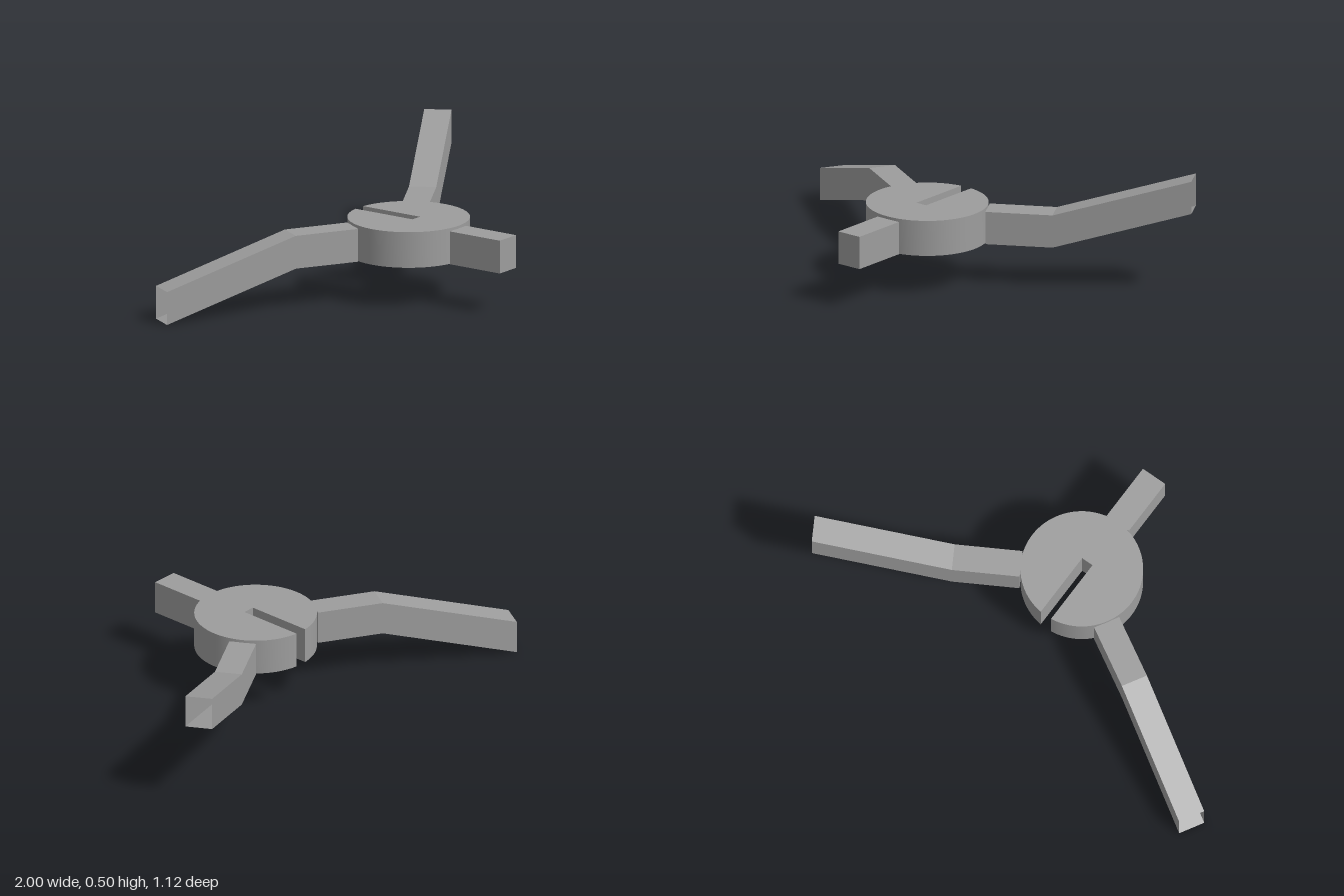
import * as THREE from 'three';
import { toCreasedNormals } from 'three/addons/utils/BufferGeometryUtils.js';

const HUB_Z = 0.05, HUB_R = 0.255, BASE_Y = 0.18;
const ARM_HALF = 0.057, ARM_H = 0.141, ARM_START = 0.254;

// Rectangular arm along +z through [distance, rise] stations; the tip may be left open
function armGeometry(stations, closedTip) {
  const rings = stations.map(([d, y]) => [
    [-ARM_HALF, y, d], [ARM_HALF, y, d],
    [ARM_HALF, y + ARM_H, d], [-ARM_HALF, y + ARM_H, d],
  ]);
  const pos = [];
  const quad = (a, b, c, d) => pos.push(...a, ...b, ...c, ...a, ...c, ...d);
  for (let i = 0; i < rings.length - 1; i++) {
    for (let j = 0; j < 4; j++) {
      const k = (j + 1) % 4;
      quad(rings[i][j], rings[i][k], rings[i + 1][k], rings[i + 1][j]);
    }
  }
  const [a, b, c, d] = rings[0];
  quad(d, c, b, a);
  if (closedTip) quad(...rings[rings.length - 1]);
  const geo = new THREE.BufferGeometry();
  geo.setAttribute('position', new THREE.Float32BufferAttribute(pos, 3));
  geo.computeVertexNormals();
  return geo;
}

// Round hub with a slot cut in from the back
function hubGeometry() {
  const slot = 0.0265, slotEnd = -0.039, s = Math.asin(slot / HUB_R);
  const shape = new THREE.Shape();
  shape.absarc(0, 0, HUB_R, Math.PI / 2 - s, Math.PI / 2 + s, true);
  shape.lineTo(-slot, slotEnd);
  shape.lineTo(slot, slotEnd);
  shape.closePath();
  const geo = new THREE.ExtrudeGeometry(shape, { depth: 0.153, bevelEnabled: false, curveSegments: 64 });
  geo.rotateX(-Math.PI / 2);
  return toCreasedNormals(geo, 0.5);
}

export function createModel() {
  const group = new THREE.Group();
  const material = new THREE.MeshStandardMaterial({ color: 0x9d9d9d, side: THREE.DoubleSide });
  const add = (name, geo, angle = 0) => {
    const mesh = new THREE.Mesh(geo, material);
    mesh.name = name;
    mesh.position.set(0, BASE_Y, HUB_Z);
    mesh.rotation.y = angle;
    group.add(mesh);
  };

  add('slottedHub', hubGeometry());

  // Short straight arm at the front
  add('frontArm', armGeometry([[ARM_START, 0], [0.511, 0]], true));

  // Long cranked arms: the left one rises, the right one drops
  for (const [name, side, rise] of [['leftArm', 1, 0.179], ['rightArm', -1, -0.18]]) {
    const geo = armGeometry([[ARM_START, 0], [0.537, 0], [1.122, rise]], false);
    add(name, geo, side * Math.PI * 2 / 3);
  }
  return group;
}
